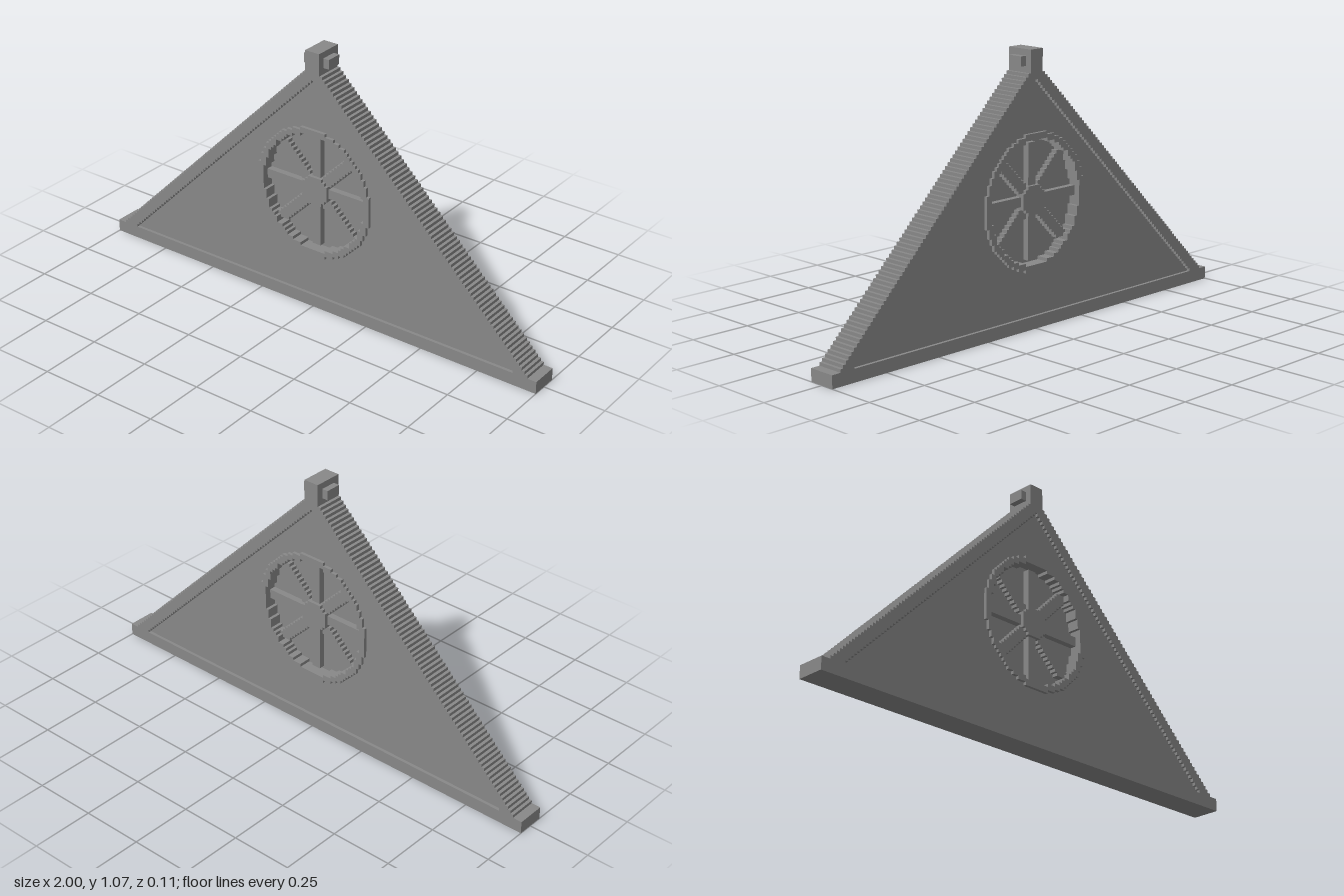
import * as THREE from 'three';

const U = 2 / 159; // one block of the stepped grid

export function createModel() {
  const group = new THREE.Group();
  group.name = 'gable';
  const stone = new THREE.MeshStandardMaterial({ color: 0x888888 });
  stone.name = 'grey stone';

  // Stepped outline: each row j spans left(j)..right(j) in blocks
  function outline(target, y0, y1, right, left = (j) => -right(j)) {
    const r = [], l = [];
    for (let j = y0; j < y1; j++) {
      if (j === y0 || right(j) !== right(j - 1)) {
        if (j > y0) r.push([right(j - 1), j]);
        r.push([right(j), j]);
      }
      if (j === y0 || left(j) !== left(j - 1)) {
        if (j > y0) l.push([left(j - 1), j]);
        l.push([left(j), j]);
      }
    }
    r.push([right(y1 - 1), y1]);
    l.push([left(y1 - 1), y1]);
    target.setFromPoints([...r, ...l.reverse()].map(([x, y]) => new THREE.Vector2(x * U, y * U)));
    return target;
  }

  // Extrude a stepped shape, centred in z
  function slab(name, shape, depth, hole) {
    if (hole) shape.holes.push(hole);
    const geo = new THREE.ExtrudeGeometry(shape, { depth: depth * U, bevelEnabled: false });
    geo.translate(0, 0, -depth * U / 2);
    return add(name, geo);
  }

  function add(name, geo) {
    const mesh = new THREE.Mesh(geo, stone);
    mesh.name = name;
    group.add(mesh);
    return mesh;
  }

  function block(name, w, h, d, x, y) {
    const geo = new THREE.BoxGeometry(w * U, h * U, d * U);
    geo.translate(x * U, y * U, 0);
    return add(name, geo);
  }

  // Half width of a blocky disc at row j
  const disc = (rx, ry, cy) => (j) =>
    Math.floor(rx * Math.sqrt(Math.max(0, 1 - ((j + 0.5 - cy) / ry) ** 2))) + 0.5;

  const ringOuter = disc(20.5, 21, 39);
  const ringInner = disc(18.5, 19, 39);
  const panelRow = (j) => 75.5 - j;
  const frameRow = (j) => (j < 4 ? 79.5 : j < 78 ? 80.5 - j : 2.5);

  // Frame with base and finial post, and the recessed panel inside it
  slab('frame', outline(new THREE.Shape(), 0, 85, frameRow), 9,
    outline(new THREE.Path(), 4, 76, panelRow));
  slab('panel', outline(new THREE.Shape(), 4, 76, panelRow), 7,
    outline(new THREE.Path(), 18, 60, ringOuter));

  // Round window
  slab('windowRing', outline(new THREE.Shape(), 18, 60, ringOuter), 9,
    outline(new THREE.Path(), 20, 58, ringInner));
  slab('windowBack', outline(new THREE.Shape(), 20, 58, ringInner), 1);
  slab('windowHub', outline(new THREE.Shape(), 35, 44, disc(4.9, 4.9, 39.5)), 7);

  // Straight and stepped diagonal spokes
  block('verticalSpoke', 3, 36, 5, 0, 39);
  block('horizontalSpoke', 37, 3, 5, 0, 39.5);
  for (const s of [1, -1]) {
    slab('diagonalSpoke', outline(new THREE.Shape(), 26, 53,
      (j) => s * (j - 39) + 2.5, (j) => s * (j - 39) - 2.5), 5);
  }

  // Small knobs on the finial post
  for (const s of [1, -1]) block('finialKnob', 2, 3, 5, s * 3.5, 81.5);

  return group;
}
